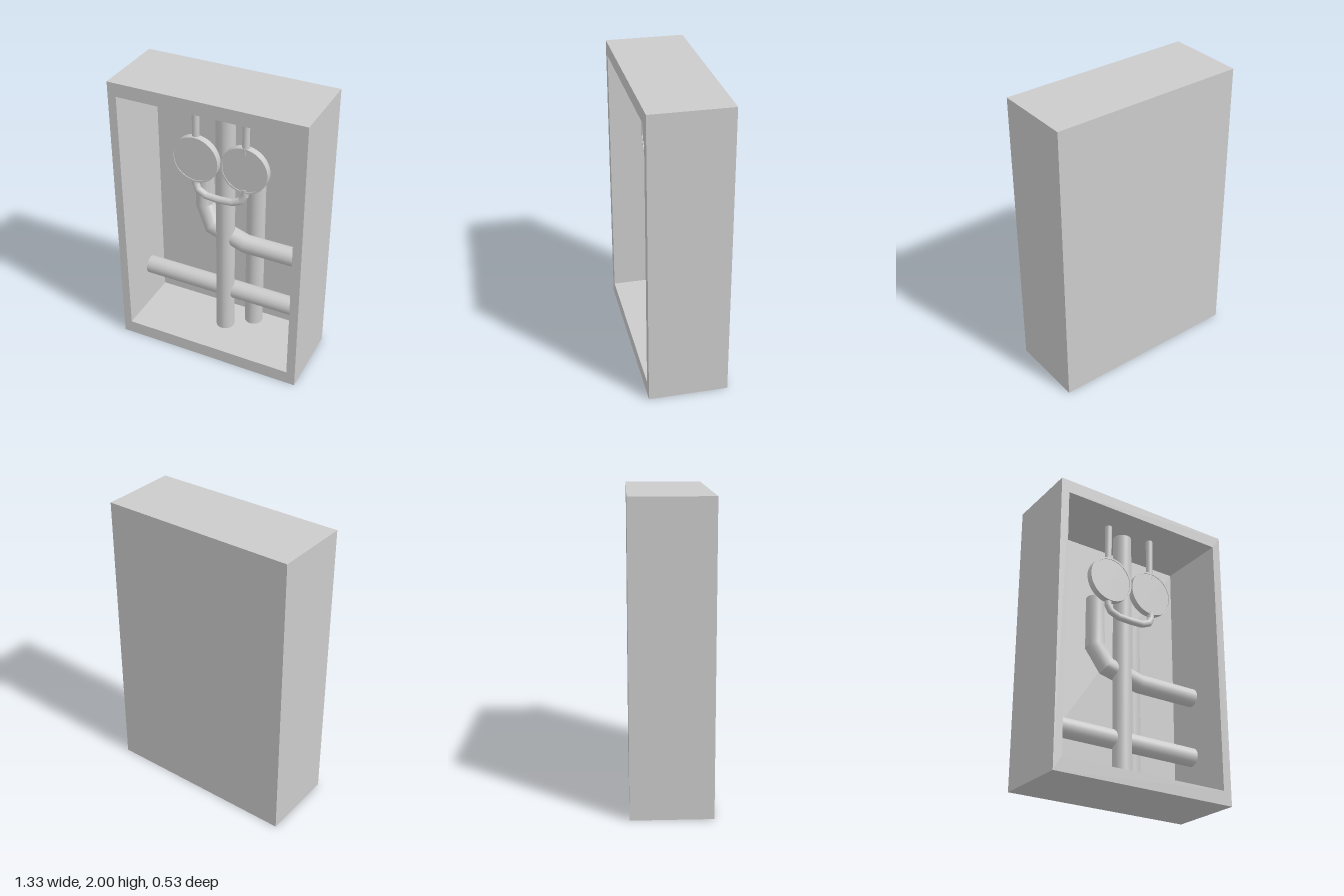
import * as THREE from 'three';
import { toCreasedNormals } from 'three/addons/utils/BufferGeometryUtils.js';

const material = new THREE.MeshStandardMaterial({ color: 0xcccccc });

function add(parent, name, geometry, x = 0, y = 0, z = 0) {
  const mesh = new THREE.Mesh(geometry, material);
  mesh.name = name;
  mesh.position.set(x, y, z);
  parent.add(mesh);
  return mesh;
}

// Round pipe along a list of points, with mitred joints and closed ends
function pipeGeometry(path, radius, sides = 24) {
  const pts = path.map((p) => new THREE.Vector3(...p));
  const last = pts.length - 1;
  const dirs = pts.slice(1).map((p, i) => p.clone().sub(pts[i]).normalize());
  const u = new THREE.Vector3(0, 0, 1);
  u.addScaledVector(dirs[0], -u.dot(dirs[0])).normalize();
  const v = dirs[0].clone().cross(u);
  const ring = [];
  for (let j = 0; j < sides; j++) {
    const a = (j / sides) * Math.PI * 2;
    ring.push(pts[0].clone().addScaledVector(u, radius * Math.cos(a)).addScaledVector(v, radius * Math.sin(a)));
  }
  const positions = [];
  const index = [];
  pts.forEach((p, i) => {
    if (i > 0) {
      // slide the ring along the segment until it meets the mitre plane
      const d = dirs[i - 1];
      const n = d.clone().add(dirs[Math.min(i, last - 1)]).normalize();
      ring.forEach((q) => q.addScaledVector(d, p.clone().sub(q).dot(n) / d.dot(n)));
    }
    ring.forEach((q) => positions.push(q.x, q.y, q.z));
    if (i === last) return;
    for (let j = 0; j < sides; j++) {
      const a = i * sides + j;
      const b = i * sides + ((j + 1) % sides);
      index.push(a, b, b + sides, a, b + sides, a + sides);
    }
  });
  const start = positions.length / 3;
  positions.push(...pts[0].toArray(), ...pts[last].toArray());
  for (let j = 0; j < sides; j++) {
    const k = (j + 1) % sides;
    index.push(start, k, j, start + 1, last * sides + j, last * sides + k);
  }
  const geometry = new THREE.BufferGeometry();
  geometry.setAttribute('position', new THREE.Float32BufferAttribute(positions, 3));
  geometry.setIndex(index);
  return toCreasedNormals(geometry, Math.PI / 7);
}

function rectangle(target, x0, y0, x1, y1) {
  target.moveTo(x0, y0).lineTo(x1, y0).lineTo(x1, y1).lineTo(x0, y1).closePath();
  return target;
}

// Round gauge with a thin rim around a slightly recessed face
function gauge(name, x, y, z) {
  const group = new THREE.Group();
  group.name = name;
  group.position.set(x, y, z);
  const profile = [[0, -0.024], [0.163, -0.024], [0.163, 0.024], [0.15, 0.024], [0.15, 0.019], [0, 0.019]];
  const body = new THREE.LatheGeometry(profile.map((p) => new THREE.Vector2(...p)), 48);
  body.rotateX(Math.PI / 2);
  add(group, 'gaugeBody', toCreasedNormals(body, Math.PI / 6));
  return group;
}

export function createModel() {
  const model = new THREE.Group();
  model.name = 'pipeCabinet';

  // Open-fronted cabinet
  const cabinet = new THREE.Group();
  cabinet.name = 'cabinet';
  const outline = rectangle(new THREE.Shape(), -0.665, 0, 0.665, 2);
  outline.holes.push(rectangle(new THREE.Path(), -0.607, 0.095, 0.604, 1.908));
  add(cabinet, 'cabinetWalls', new THREE.ExtrudeGeometry(outline, { depth: 0.505, bevelEnabled: false }), 0, 0, -0.24);
  add(cabinet, 'backPanel', new THREE.BoxGeometry(1.33, 2, 0.025), 0, 1, -0.2525);
  model.add(cabinet);

  // Large pipes
  const r = 0.064;
  const pipes = {
    mainPipe: [[0.009, 0.09, -0.02], [0.009, 1.912, -0.02]],
    crossPipe: [[-0.61, 0.405, -0.05], [0.608, 0.405, -0.05]],
    rearPipe: [[0.172, 0.09, -0.154], [0.172, 1.352, -0.154]],
    bentPipe: [[-0.172, 1.4, -0.08], [-0.172, 1.045, -0.08], [-0.097, 0.905, -0.05], [0.155, 0.835, -0.035], [0.608, 0.835, -0.035]],
  };
  for (const [name, path] of Object.entries(pipes)) add(model, name, pipeGeometry(path, r));

  // Gauges, each with a thin feed pipe from the ceiling
  model.add(gauge('rightGauge', -0.157, 1.48, 0.073));
  model.add(gauge('leftGauge', 0.183, 1.48, 0.062));
  for (const [name, x] of [['rightFeedPipe', -0.162], ['leftFeedPipe', 0.186]]) {
    add(model, name, pipeGeometry([[x, 1.6, 0.06], [x, 1.912, 0.06]], 0.024, 16));
  }

  // Thin looped tube joining the gauges
  const loop = [
    [-0.165, 1.34, 0.065], [-0.165, 1.29, 0.067], [-0.145, 1.25, 0.072], [-0.085, 1.222, 0.078], [0.01, 1.217, 0.08],
    [0.105, 1.222, 0.078], [0.165, 1.25, 0.072], [0.187, 1.29, 0.067], [0.187, 1.34, 0.065],
  ];
  add(model, 'connectingTube', pipeGeometry(loop, 0.024, 16));

  return model;
}
